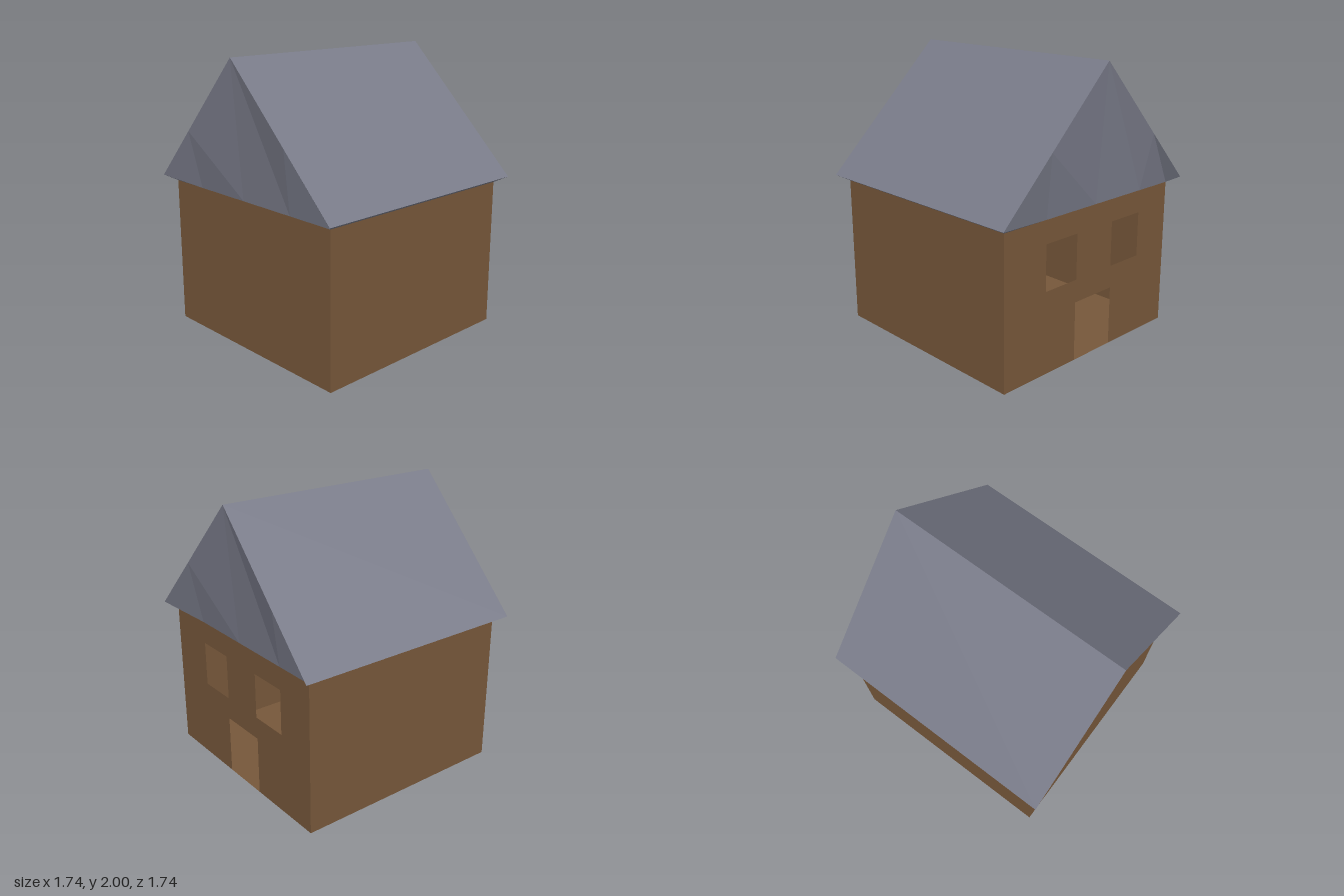
import * as THREE from 'three';

const wood = new THREE.MeshStandardMaterial({ color: 0x76573a, side: THREE.DoubleSide });
wood.name = 'brown walls';
const slate = new THREE.MeshStandardMaterial({ color: 0x797b89, side: THREE.DoubleSide });
slate.name = 'grey roof';

const W = 0.8, WALL_TOP = 1.06;      // half width and height of the walls
const E = 0.872, EAVE = 1.1;         // half width and height of the eaves
const RIDGE = 2, RIDGE_Z = -0.03;

function addMesh(parent, name, geometry, material) {
  const mesh = new THREE.Mesh(geometry, material);
  mesh.name = name;
  parent.add(mesh);
  return mesh;
}

// Flat-faced strip between two rows of points
function strip(a, b) {
  const pos = [];
  for (let i = 0; i < a.length - 1; i++) {
    pos.push(...a[i], ...b[i], ...b[i + 1], ...a[i], ...b[i + 1], ...a[i + 1]);
  }
  const g = new THREE.BufferGeometry();
  g.setAttribute('position', new THREE.Float32BufferAttribute(pos, 3));
  g.computeVertexNormals();
  return g;
}

function rectHole(x0, x1, y0, y1) {
  return new THREE.Path([
    new THREE.Vector2(x0, y0), new THREE.Vector2(x0, y1),
    new THREE.Vector2(x1, y1), new THREE.Vector2(x1, y0),
  ]);
}

// Height of the sloping roof edge at a given z
function rakeHeight(z) {
  const run = z > RIDGE_Z ? E - RIDGE_Z : E + RIDGE_Z;
  return RIDGE - (RIDGE - EAVE) * Math.abs(z - RIDGE_Z) / run;
}

export function createModel() {
  const house = new THREE.Group();
  house.name = 'house';

  // Hollow body: floor and three plain walls
  const walls = new THREE.Group();
  walls.name = 'walls';
  house.add(walls);
  addMesh(walls, 'floor', new THREE.PlaneGeometry(2 * W, 2 * W).rotateX(Math.PI / 2), wood);
  [['frontWall', 0], ['backWall', Math.PI], ['rightWall', -Math.PI / 2]].forEach(([name, angle]) => {
    const g = new THREE.PlaneGeometry(2 * W, WALL_TOP).translate(0, WALL_TOP / 2, W).rotateY(angle);
    addMesh(walls, name, g, wood);
  });

  // Entrance wall: door notch and two open windows
  const entrance = new THREE.Shape([
    [-W, 0], [-0.15, 0], [-0.15, 0.42], [0.21, 0.42], [0.21, 0], [W, 0], [W, WALL_TOP], [-W, WALL_TOP],
  ].map(([x, y]) => new THREE.Vector2(x, y)));
  entrance.holes.push(rectHole(-0.435, -0.145, 0.58, 0.9), rectHole(0.205, 0.495, 0.58, 0.9));
  addMesh(walls, 'entranceWall',
    new THREE.ShapeGeometry(entrance).translate(0, 0, W).rotateY(Math.PI / 2), wood);

  // Open-bottomed roof
  const roof = new THREE.Group();
  roof.name = 'roof';
  house.add(roof);
  for (const s of [1, -1]) {
    const side = s > 0 ? 'front' : 'back';
    const ridge = [[-E * s, RIDGE, RIDGE_Z], [E * s, RIDGE, RIDGE_Z]];
    const eave = [[-E * s, EAVE, E * s], [E * s, EAVE, E * s]];
    const base = [[-W * s, WALL_TOP, W * s], [W * s, WALL_TOP, W * s]];
    addMesh(roof, side + 'Slope', strip(ridge, eave), slate);
    addMesh(roof, side + 'Soffit', strip(eave, base), slate);
  }

  // Gables lean out from the wall tops to the sloping roof edges
  const zs = [W, 0.435, RIDGE_Z, -0.495, -W];
  const rakeZs = [E, 0.47, RIDGE_Z, -0.53, -E];
  for (const s of [1, -1]) {
    const rake = rakeZs.map(z => [E * s, rakeHeight(z), z]);
    const base = zs.map(z => [W * s, WALL_TOP, z]);
    addMesh(roof, s > 0 ? 'leftGable' : 'rightGable',
      s > 0 ? strip(rake, base) : strip(base, rake), slate);
  }
  return house;
}
